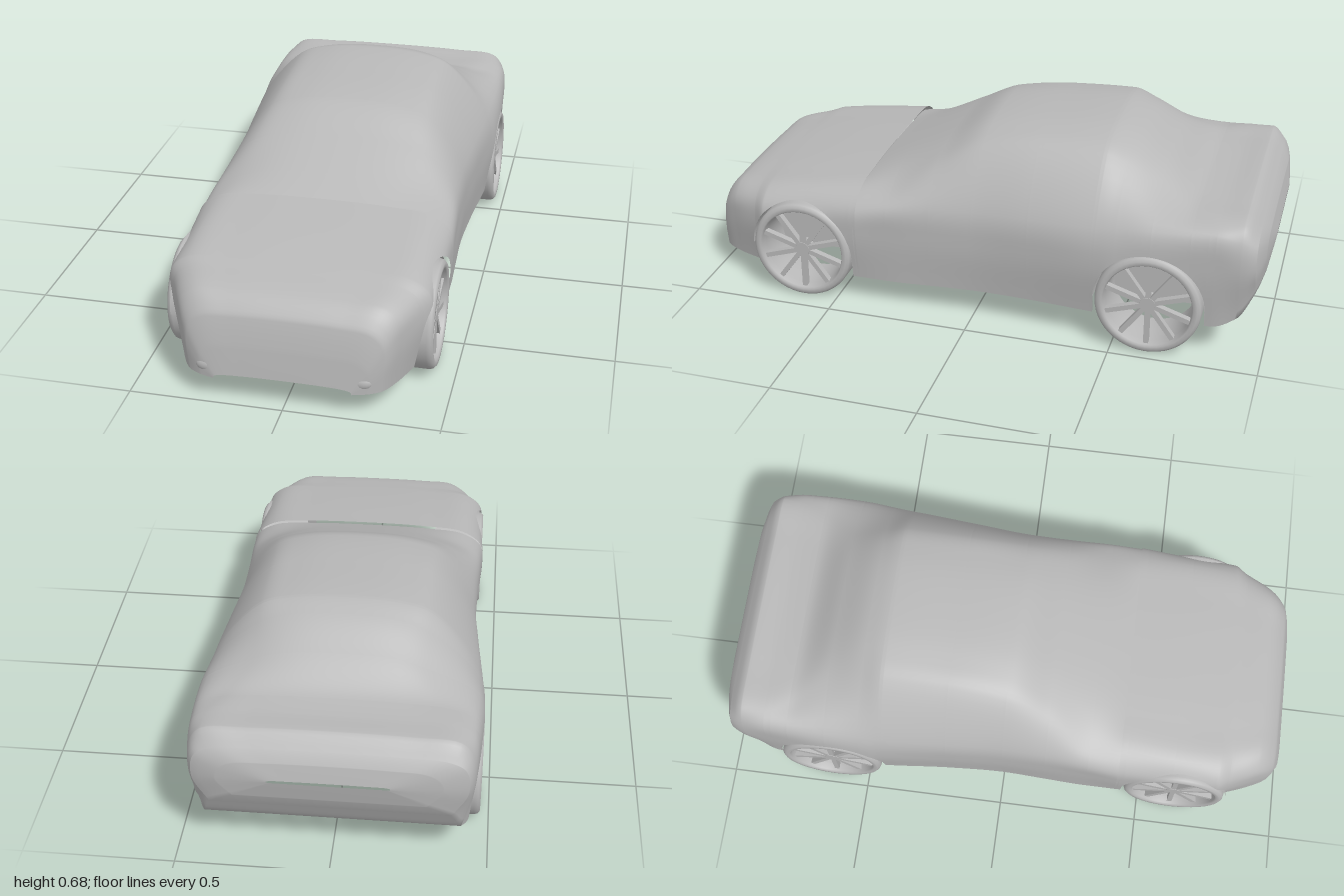
import * as THREE from 'three';
import { RoundedBoxGeometry } from 'three/addons/geometries/RoundedBoxGeometry.js';

const WHEEL_R = 0.18, ARCH_R = 0.187, AXLES = [0.62, -0.62];

// Half cross-sections: z, yBottom, xBottom, xMid, yMid, xShoulder, yShoulder, xTop, yTop, yCentre
const NOSE = [
  [1.0, 0.09, 0.22, 0.22, 0.095, 0.215, 0.1, 0.19, 0.105, 0.11],
  [0.985, 0.09, 0.27, 0.275, 0.14, 0.27, 0.18, 0.24, 0.205, 0.215],
  [0.96, 0.09, 0.31, 0.32, 0.2, 0.31, 0.26, 0.27, 0.295, 0.31],
  [0.9, 0.09, 0.345, 0.36, 0.24, 0.35, 0.31, 0.3, 0.35, 0.36],
  [0.8, 0.093, 0.385, 0.41, 0.25, 0.395, 0.33, 0.34, 0.37, 0.385],
  [0.76, 0.095, 0.4, 0.43, 0.25, 0.42, 0.335, 0.36, 0.38, 0.393],
  [0.6, 0.1, 0.415, 0.433, 0.26, 0.425, 0.345, 0.37, 0.4, 0.42],
  [0.41, 0.1, 0.42, 0.44, 0.27, 0.43, 0.37, 0.36, 0.425, 0.446],
];
const CABIN = [
  [0.42, 0.1, 0.42, 0.44, 0.27, 0.43, 0.36, 0.36, 0.41, 0.43],
  [0.3, 0.1, 0.42, 0.432, 0.28, 0.425, 0.38, 0.36, 0.43, 0.49],
  [0.15, 0.103, 0.415, 0.427, 0.28, 0.415, 0.4, 0.325, 0.51, 0.565],
  [0, 0.106, 0.41, 0.425, 0.28, 0.412, 0.41, 0.295, 0.585, 0.64],
  [-0.2, 0.11, 0.42, 0.438, 0.29, 0.425, 0.42, 0.285, 0.62, 0.663],
  [-0.42, 0.113, 0.44, 0.462, 0.3, 0.44, 0.43, 0.285, 0.628, 0.675],
  [-0.5, 0.115, 0.445, 0.47, 0.31, 0.442, 0.44, 0.28, 0.6, 0.655],
  [-0.62, 0.118, 0.445, 0.471, 0.32, 0.448, 0.45, 0.29, 0.54, 0.585],
  [-0.75, 0.12, 0.44, 0.463, 0.33, 0.448, 0.455, 0.36, 0.49, 0.505],
  [-0.83, 0.12, 0.435, 0.457, 0.34, 0.447, 0.455, 0.39, 0.49, 0.5],
  [-0.91, 0.15, 0.41, 0.45, 0.33, 0.44, 0.44, 0.4, 0.49, 0.505],
  [-0.96, 0.235, 0.38, 0.43, 0.33, 0.42, 0.42, 0.37, 0.45, 0.462],
  [-0.985, 0.29, 0.3, 0.35, 0.35, 0.34, 0.39, 0.3, 0.415, 0.425],
  [-1.0, 0.36, 0.18, 0.19, 0.362, 0.19, 0.365, 0.18, 0.368, 0.37],
];

// Monotone cubic interpolation of one column of a section table
function column(rows, c, z) {
  const slope = i => (rows[i + 1][c] - rows[i][c]) / (rows[i + 1][0] - rows[i][0]);
  const last = rows.length - 2;
  const tangent = i => {
    if (i === 0) return slope(0);
    if (i > last) return slope(last);
    const a = slope(i - 1), b = slope(i);
    return a * b <= 0 ? 0 : (2 * a * b) / (a + b);
  };
  let i = 0;
  while (i < last && z < rows[i + 1][0]) i++;
  const h = rows[i + 1][0] - rows[i][0], t = (z - rows[i][0]) / h;
  const t2 = t * t, t3 = t2 * t;
  return (2 * t3 - 3 * t2 + 1) * rows[i][c] + (t3 - 2 * t2 + t) * h * tangent(i) +
    (3 * t2 - 2 * t3) * rows[i + 1][c] + (t3 - t2) * h * tangent(i + 1);
}

// Points across the shell at one z, cut off along the wheel arch
function section(rows, z, n) {
  const [yb, xb, xm, ym, xs, ys, xt, yt, yc] = [1, 2, 3, 4, 5, 6, 7, 8, 9].map(c => column(rows, c, z));
  const half = [[xb, yb], [xm, ym], [xs, ys], [xt, yt], [xt * 0.63, yc - 0.25 * (yc - yt)]];
  const pts = [...half.map(([x, y]) => [-x, y]), [0, yc], ...half.slice().reverse()];
  const curve = new THREE.CatmullRomCurve3(pts.map(([x, y]) => new THREE.Vector3(x, y, z)), false, 'centripetal');
  let cut = 1;
  for (const axle of AXLES) {
    const dz = Math.abs(z - axle);
    if (dz >= ARCH_R) continue;
    const y = WHEEL_R + Math.sqrt(ARCH_R ** 2 - dz ** 2);
    let lo = 0.7, hi = 1;
    for (let k = 0; k < 24; k++) {
      const mid = (lo + hi) / 2;
      if (curve.getPoint(mid).y > y) lo = mid; else hi = mid;
    }
    cut = lo;
  }
  return Array.from({ length: n + 1 }, (_, i) => curve.getPoint(Math.min(cut, Math.max(1 - cut, i / n))));
}

function shell(rows) {
  const n = 60, z0 = rows[0][0], z1 = rows[rows.length - 1][0];
  const zs = rows.map(r => r[0]);
  for (let z = z0 - 0.0117; z > z1; z -= 0.0117) zs.push(z);
  for (const a of AXLES) for (const s of [-1, 1]) for (const e of [-0.0004, 0.0004, -0.003]) {
    const z = a + s * (ARCH_R + e);
    if (z < z0 && z > z1) zs.push(z);
  }
  zs.sort((a, b) => b - a);
  const pos = [], index = [];
  zs.forEach((z, s) => {
    for (const p of section(rows, z, n)) pos.push(p.x, p.y, p.z);
    if (s === zs.length - 1) return;
    const a = s * (n + 1), b = a + n + 1;
    for (let i = 0; i < n; i++) index.push(a + i, a + i + 1, b + i, a + i + 1, b + i + 1, b + i);
    // the rear bumper curls under
    if (z < -0.905) index.push(a + n, a, b + n, a, b, b + n);
  });
  const g = new THREE.BufferGeometry();
  g.setAttribute('position', new THREE.Float32BufferAttribute(pos, 3));
  g.setIndex(index);
  g.computeVertexNormals();
  return g;
}

export function createModel() {
  const model = new THREE.Group();
  model.name = 'car';
  const grey = new THREE.MeshStandardMaterial({ color: 0xb8b8b8, side: THREE.DoubleSide });
  grey.name = 'plain grey';
  const add = (parent, name, geometry, x = 0, y = 0, z = 0) => {
    const m = new THREE.Mesh(geometry, grey);
    m.name = name;
    m.position.set(x, y, z);
    parent.add(m);
    return m;
  };

  add(model, 'hoodAndFrontFenders', shell(NOSE));
  add(model, 'cabinAndRearBody', shell(CABIN));

  // Wheel with its axis on x, outer face towards +x
  const hw = 0.085;
  const tyreProfile = [[0.147, hw - 0.03], [0.15, hw - 0.006], [0.155, hw], [0.168, hw], [0.177, hw - 0.008],
    [0.18, hw - 0.02], [0.18, -hw + 0.03], [0.172, -hw + 0.008], [0.155, -hw], [0.145, -hw], [0.143, 0], [0.147, hw - 0.03]];
  const tyre = new THREE.LatheGeometry(tyreProfile.map(([r, h]) => new THREE.Vector2(r, h)), 48).rotateZ(-Math.PI / 2);
  const hub = new THREE.CylinderGeometry(0.026, 0.032, 0.035, 20).rotateZ(-Math.PI / 2);
  const spoke = new THREE.BoxGeometry(0.022, 0.13, 0.017).translate(0, 0.085, 0);
  function makeWheel() {
    const w = new THREE.Group();
    w.name = 'wheel';
    add(w, 'tyre', tyre);
    add(w, 'hub', hub, hw - 0.03);
    for (let i = 0; i < 10; i++) add(w, 'spoke', spoke, hw - 0.025).rotation.x = (i * Math.PI) / 5;
    return w;
  }

  // Wheel wells: curved liner and flat inner panel
  const panelShape = new THREE.Shape();
  panelShape.moveTo(-ARCH_R, -0.075);
  panelShape.lineTo(-ARCH_R, 0);
  panelShape.absarc(0, 0, ARCH_R, Math.PI, 0, true);
  panelShape.lineTo(ARCH_R, -0.075);
  const panel = new THREE.ShapeGeometry(panelShape, 24).rotateY(Math.PI / 2);

  for (const side of [-1, 1]) {
    AXLES.forEach((z, rear) => {
      const outer = rear ? 0.47 : 0.436;
      const wheel = makeWheel();
      wheel.position.set(side * (outer - hw), WHEEL_R, z);
      if (side < 0) wheel.rotation.y = Math.PI;
      model.add(wheel);
      const inner = outer - 0.185, width = outer - 0.016 - inner;
      const liner = new THREE.CylinderGeometry(ARCH_R, ARCH_R, width, 32, 1, true, 0, Math.PI).rotateZ(Math.PI / 2);
      add(model, 'wheelWellLiner', liner, side * (inner + width / 2), WHEEL_R, z);
      add(model, 'wheelWellPanel', panel, side * inner, WHEEL_R, z);
    });

    // Front seats
    const seat = new THREE.Group();
    seat.name = 'seat';
    seat.position.set(side * 0.19, 0, -0.08);
    add(seat, 'cushion', new RoundedBoxGeometry(0.23, 0.09, 0.26, 4, 0.035), 0, 0.18, 0.06);
    add(seat, 'backrest', new RoundedBoxGeometry(0.23, 0.34, 0.08, 4, 0.035), 0, 0.32, -0.09).rotation.x = -0.25;
    model.add(seat);

    // Fog lamps
    add(model, 'fogLamp', new THREE.SphereGeometry(1, 20, 12).scale(0.038, 0.026, 0.02), side * 0.245, 0.126, 0.975);
  }

  add(model, 'dashboard', new RoundedBoxGeometry(0.76, 0.08, 0.1, 4, 0.035), 0, 0.36, 0.32);
  return model;
}
